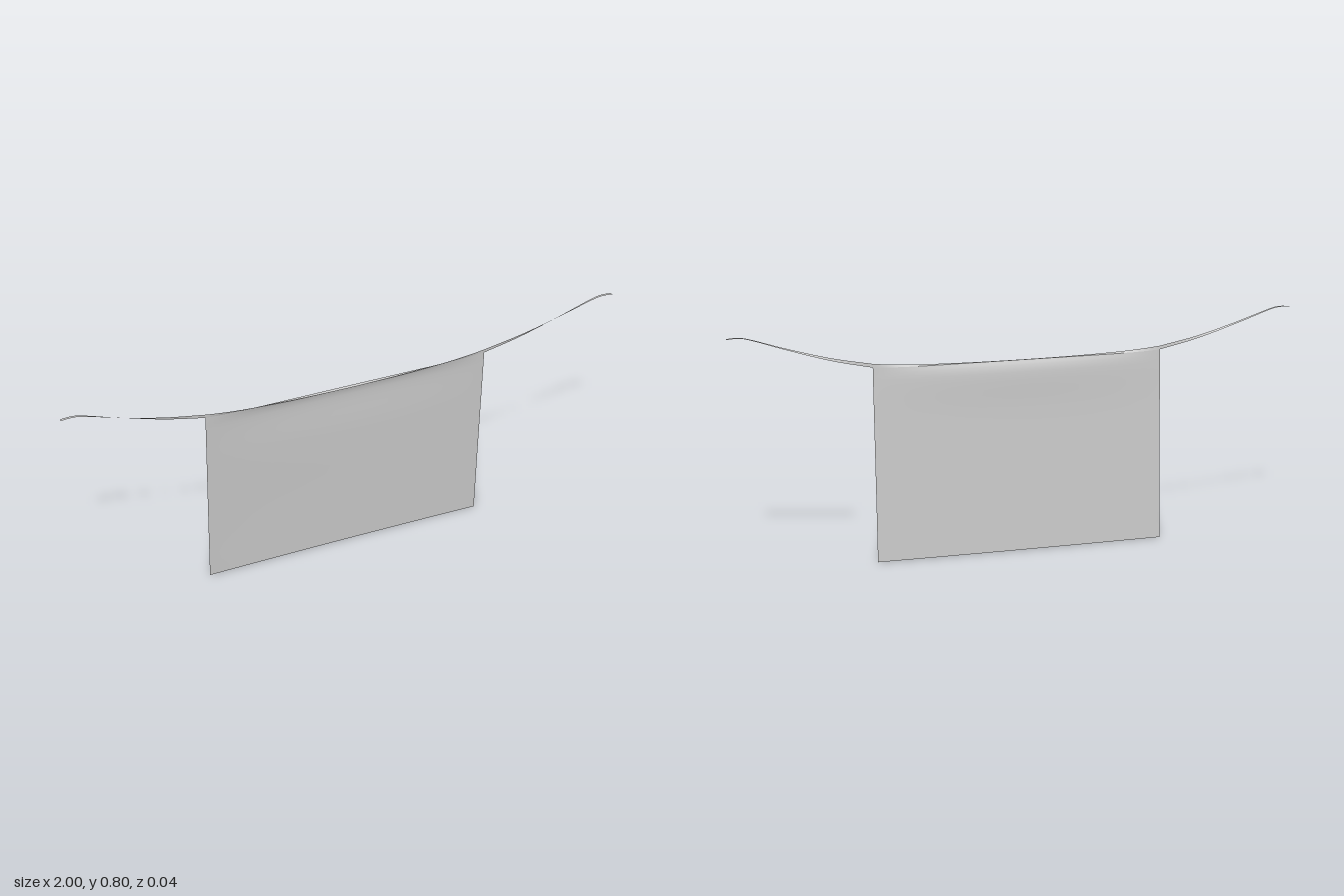
import * as THREE from 'three';

const material = new THREE.MeshStandardMaterial({ color: 0xcccccc, side: THREE.DoubleSide });
const HALF = 0.512; // half width of the cloth

// Smooth open sheet: point(u, v) with u across and v from top to bottom
function sheet(name, cols, rows, point) {
  const geometry = new THREE.PlaneGeometry(1, 1, cols, rows);
  const pos = geometry.attributes.position;
  for (let i = 0; i < pos.count; i++) {
    const p = point(pos.getX(i) + 0.5, 0.5 - pos.getY(i));
    pos.setXYZ(i, p.x, p.y, p.z);
  }
  geometry.computeVertexNormals();
  const mesh = new THREE.Mesh(geometry, material);
  mesh.name = name;
  return mesh;
}

const curve = (points) => new THREE.CatmullRomCurve3(points.map((p) => new THREE.Vector3(...p)), false, 'centripetal');

// Waist band edges over the cloth: flat in the middle, upright at the corners
const bandTop = (t) => 0.67 + 0.013 * t ** 2 + 0.007 * t ** 6;
function bandPoint(x, v) {
  const t = x / HALF;
  const twist = t ** 2;
  return new THREE.Vector3(
    x,
    bandTop(t) + v * THREE.MathUtils.lerp(0.002, -0.013, twist),
    THREE.MathUtils.lerp(0.022, 0.011, twist) - v * THREE.MathUtils.lerp(0.012, 0.0005, twist)
  );
}

// Hanging cloth: bowed back below the band, nearly straight at the sides
const middle = curve([[0, 0.672, 0.01], [0, 0.655, 0.004], [0, 0.632, 0], [0, 0.5, -0.002], [0, 0.25, -0.012], [0, 0, -0.022]]);
const side = curve([[0, 0.677, 0.0105], [0, 0.655, 0.0098], [0, 0.632, 0.0088], [0, 0.5, 0.003], [0, 0.25, -0.008], [0, 0, -0.018]]);
function clothPoint(u, v) {
  const x = (u * 2 - 1) * HALF;
  const t = x / HALF;
  const p = middle.getPoint(v).lerp(side.getPoint(v), t * t);
  // the top row follows the band's inner edge
  const top = bandPoint(x, 1);
  const fade = Math.max(0, 1 - v / 0.2);
  p.y += (top.y - THREE.MathUtils.lerp(0.672, 0.677, t * t)) * fade;
  p.z += (top.z - THREE.MathUtils.lerp(0.01, 0.0105, t * t)) * fade;
  p.x = x;
  return p;
}

// Tie strap edges: upright at the cloth, twisting flat toward the tip
const strapUpper = curve([[0.512, 0.69, 0.011], [0.65, 0.717, 0.013], [0.8, 0.758, 0.017], [0.94, 0.801, 0.021], [0.965, 0.804, 0.022], [1, 0.802, 0.022]]);
const strapLower = curve([[0.512, 0.677, 0.0105], [0.65, 0.708, 0.0105], [0.8, 0.754, 0.0105], [0.94, 0.8, 0.0105], [0.965, 0.803, 0.0105], [1, 0.801, 0.0105]]);

export function createModel() {
  const group = new THREE.Group();
  group.name = 'hangingCloth';
  group.add(sheet('cloth', 32, 40, clothPoint));
  group.add(sheet('waistBand', 32, 2, (u, v) => bandPoint((u * 2 - 1) * HALF, v)));
  for (const s of [1, -1]) {
    group.add(sheet(s > 0 ? 'leftStrap' : 'rightStrap', 30, 2, (u, v) => {
      const along = s > 0 ? u : 1 - u;
      const p = strapUpper.getPoint(along).lerp(strapLower.getPoint(along), v);
      p.x *= s;
      return p;
    }));
  }
  return group;
}
